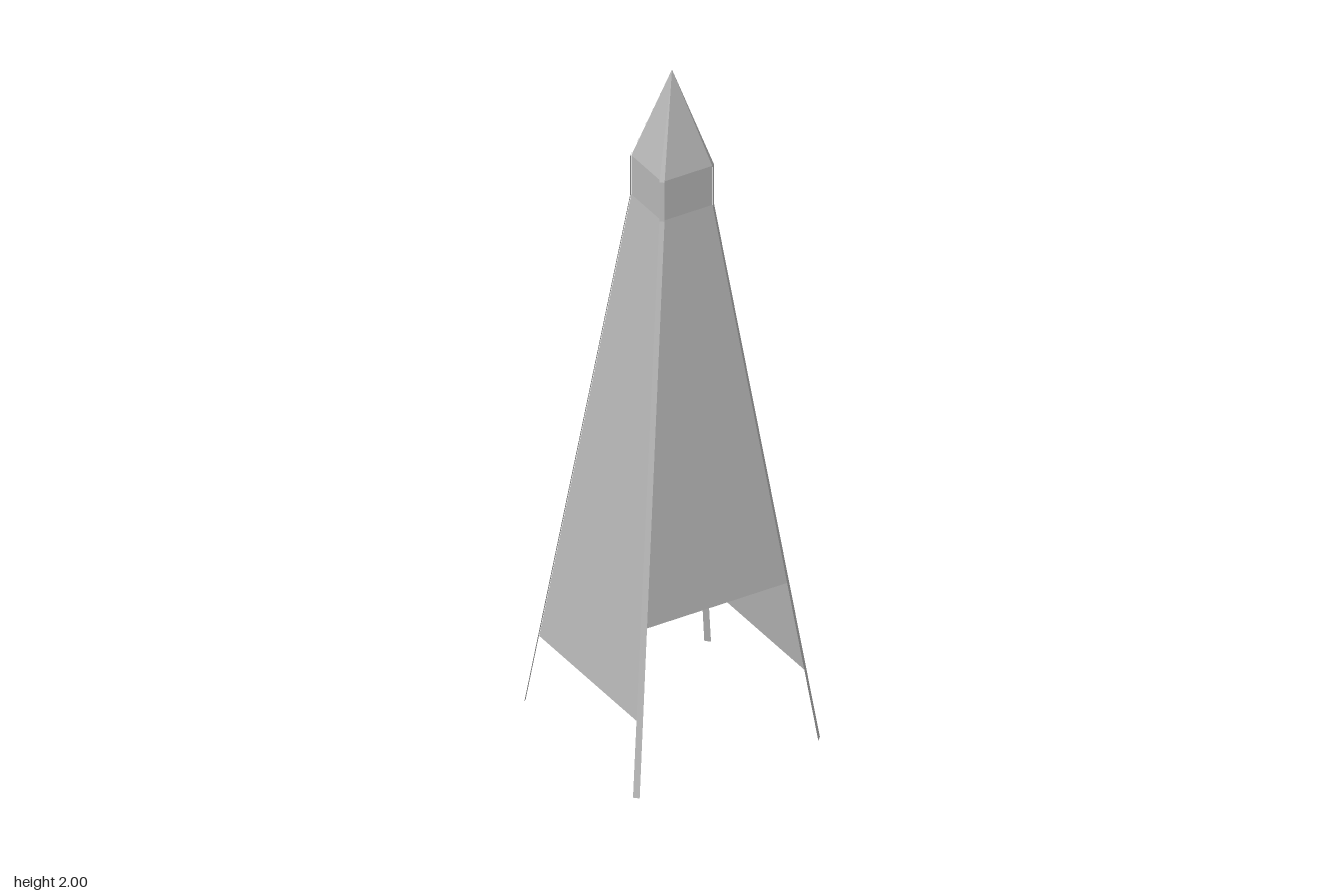
import * as THREE from 'three';

// Band facing +z, built from rows of [height, half width, distance from axis]
function band(rows) {
  const pos = [];
  for (let i = 0; i < rows.length - 1; i++) {
    const [y0, w0, d0] = rows[i];
    const [y1, w1, d1] = rows[i + 1];
    pos.push(-w0, y0, d0, w0, y0, d0, w1, y1, d1);
    if (w1 > 0) pos.push(-w0, y0, d0, w1, y1, d1, -w1, y1, d1);
  }
  const geo = new THREE.BufferGeometry();
  geo.setAttribute('position', new THREE.Float32BufferAttribute(pos, 3));
  geo.computeVertexNormals();
  return geo;
}

export function createModel() {
  const model = new THREE.Group();
  const grey = new THREE.MeshStandardMaterial({ color: 0xb8b8b8, side: THREE.DoubleSide, flatShading: true });
  grey.name = 'grey';

  // Square outline: half width of the body at each height
  const collar = [[1.6, 0.077], [1.72, 0.077], [2, 0]];
  const radiusAt = (y) => 0.277 - 0.125 * y;

  const names = ['front', 'left', 'back', 'right'];
  names.forEach((name, i) => {
    // Sloping wall, collar and roof facet; the front wall stops higher to leave an opening
    const hem = i === 0 ? 0.467 : 0.205;
    const rows = [[hem, radiusAt(hem)], ...collar].map(([y, r]) => [y, r, r]);
    const wall = new THREE.Mesh(band(rows), grey);
    wall.name = name + 'Wall';
    wall.rotation.y = i * Math.PI / 2;
    model.add(wall);

    // Flat corner strip running from the tip down to the ground as a leg
    const legRows = [[0, radiusAt(0), 0.009], ...collar.map(([y, r]) => [y, r, r > 0 ? 0.007 : 0])]
      .map(([y, r, w]) => [y, w, r > 0 ? r * Math.SQRT2 + 0.002 : 0]);
    const leg = new THREE.Mesh(band(legRows), grey);
    leg.name = 'cornerLeg' + (i + 1);
    leg.rotation.y = Math.PI / 4 + i * Math.PI / 2;
    model.add(leg);
  });

  return model;
}
